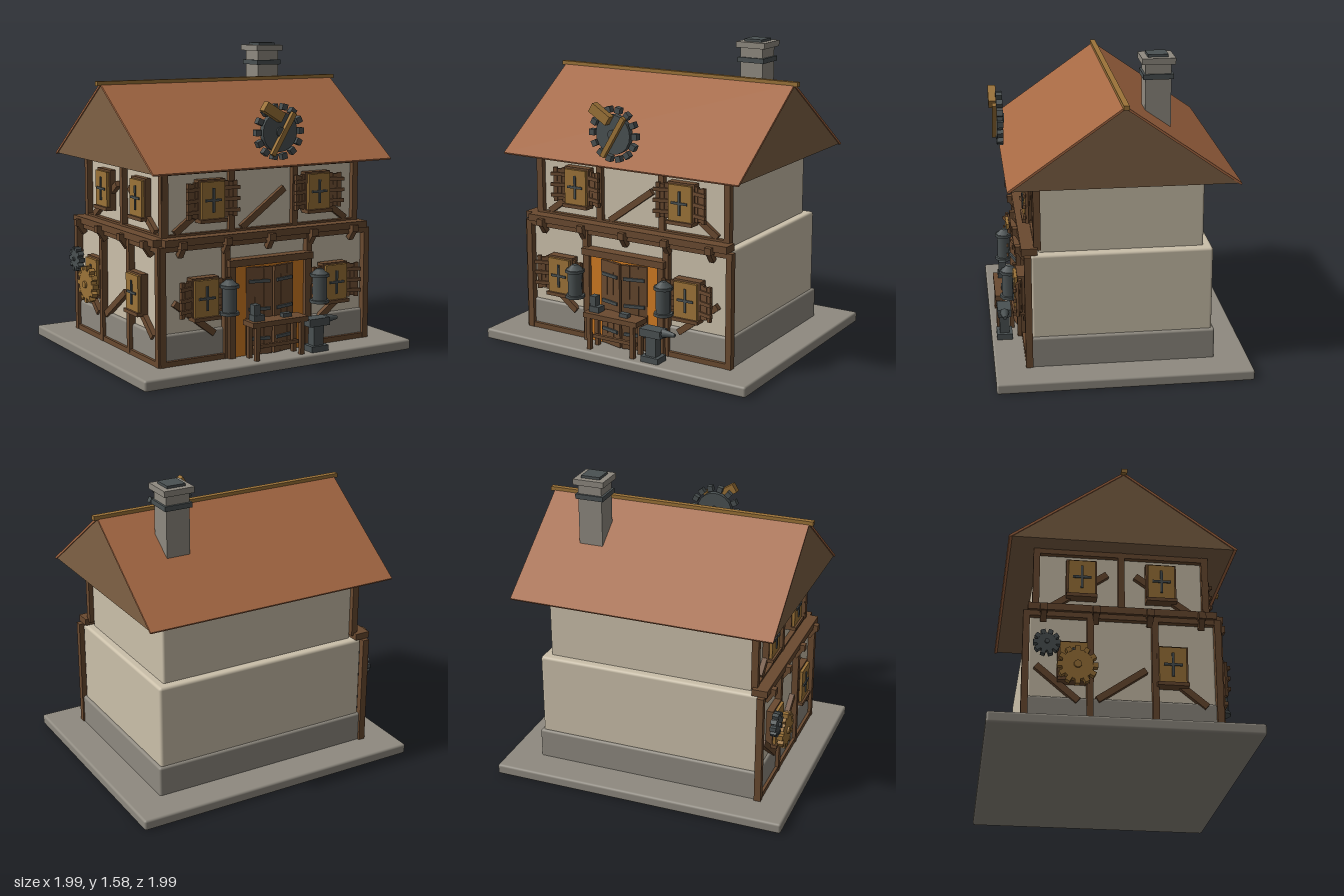
import * as THREE from 'three';
import { RoundedBoxGeometry } from 'three/addons/geometries/RoundedBoxGeometry.js';

const paint = (name, color) => Object.assign(new THREE.MeshStandardMaterial({ color }), { name });
const stone = paint('stone', 0x8f8a80);
const plaster = paint('plaster', 0xcbc0aa);
const timber = paint('timber', 0x6a4a30);
const gableWood = paint('gable wood', 0x7f6245);
const tile = paint('roof tile', 0xa56843);
const gold = paint('golden wood', 0x9c7338);
const glow = paint('door glow', 0xd07a22);
const iron = paint('iron', 0x4a5152);

function add(parent, name, geometry, material, x = 0, y = 0, z = 0, rz = 0) {
  const mesh = new THREE.Mesh(geometry, material);
  mesh.name = name;
  mesh.position.set(x, y, z);
  mesh.rotation.z = rz;
  parent.add(mesh);
  return mesh;
}
const box = (parent, name, mat, w, h, d, x, y, z, rz = 0) =>
  add(parent, name, new THREE.BoxGeometry(w, h, d), mat, x, y, z, rz);
const slab = (parent, name, mat, w, y0, y1, d, r) =>
  add(parent, name, new RoundedBoxGeometry(w, y1 - y0, d, 2, r), mat, 0, (y0 + y1) / 2, 0);
const drum = (parent, name, mat, r0, r1, h, x, y, z, sides = 8) =>
  add(parent, name, new THREE.CylinderGeometry(r0, r1, h, sides), mat, x, y, z);

function group(parent, name, x = 0, y = 0, z = 0, ry = 0) {
  const g = new THREE.Group();
  g.name = name;
  g.position.set(x, y, z);
  g.rotation.y = ry;
  parent.add(g);
  return g;
}

// Posts, rails and diagonal braces of one storey on one wall
function frame(parent, half, z, y0, y1, posts, braces) {
  const g = group(parent, 'timberFrame');
  for (const x of posts) box(g, 'post', timber, 0.032, y1 - y0, 0.035, x, (y0 + y1) / 2, z);
  for (const y of [y0 + 0.013, y1 - 0.013]) box(g, 'rail', timber, half * 2, 0.026, 0.03, 0, y, z);
  for (const [xa, ya, xb, yb] of braces)
    box(g, 'brace', timber, Math.hypot(xb - xa, yb - ya), 0.032, 0.026,
      (xa + xb) / 2, (ya + yb) / 2, z, Math.atan2(yb - ya, xb - xa));
}

// Window with a cross bar and optional plank shutters
function window(parent, x, y, z, shutters) {
  const g = group(parent, 'window', x, y, z);
  box(g, 'windowFrame', timber, 0.15, 0.2, 0.05, 0, 0, -0.02);
  box(g, 'windowPane', gold, 0.13, 0.18, 0.04, 0, 0, 0);
  box(g, 'windowBar', iron, 0.012, 0.12, 0.008, 0, 0, 0.022);
  box(g, 'windowBar', iron, 0.09, 0.012, 0.008, 0, 0, 0.022);
  box(g, 'windowSill', timber, 0.15, 0.018, 0.06, 0, -0.1, 0);
  if (!shutters) return;
  for (const s of [-1, 1]) {
    const sh = group(g, 'shutter', s * 0.108, 0, 0, -s * 0.3);
    for (const i of [-1, 0, 1]) box(sh, 'shutterPlank', timber, 0.021, 0.165 + 0.012 * (i * i), 0.016, i * 0.023, 0, 0);
    for (const yy of [-0.055, 0, 0.055]) box(sh, 'shutterBatten', timber, 0.084, 0.018, 0.014, s * 0.004, yy, 0.01);
  }
}

// Upright gear facing +z
function gear(parent, mat, r, teeth, size, x, y, z, gap = 0) {
  const g = group(parent, 'gear', x, y, z);
  drum(g, 'gearDisc', mat, r, r, 0.03, 0, 0, 0, 20).rotation.x = Math.PI / 2;
  drum(g, 'gearHub', mat, r * 0.25, r * 0.25, 0.05, 0, 0, 0, 10).rotation.x = Math.PI / 2;
  for (let i = 0; i < teeth; i++) {
    const a = (i / teeth) * Math.PI * 2;
    const d = r + gap + size * 0.35;
    box(g, 'gearTooth', mat, size, size, 0.032, Math.cos(a) * d, Math.sin(a) * d, 0, a);
  }
  return g;
}

// Jetty beam with sloping joist ends
function jetty(parent, half, z, xs) {
  const g = group(parent, 'jetty');
  box(g, 'jettyBeam', timber, half * 2, 0.035, 0.08, 0, 0.658, z - 0.03);
  for (const x of xs) {
    box(g, 'joistEnd', timber, 0.035, 0.035, 0.06, x, 0.645, z + 0.005);
    box(g, 'joistBracket', timber, 0.028, 0.065, 0.028, x, 0.615, z).rotation.x = 0.6;
  }
}

export function createModel() {
  const model = new THREE.Group();
  model.name = 'workshopHouse';
  const house = group(model, 'house', 0, 0, 0, Math.PI / 4);

  // Masonry body
  slab(house, 'base', stone, 1.556, 0, 0.055, 1.273, 0.012);
  slab(house, 'plinth', stone, 1.21, 0.04, 0.21, 0.926, 0.012);
  slab(house, 'lowerWall', plaster, 1.18, 0.15, 0.64, 0.9, 0.015);
  slab(house, 'upperWall', plaster, 1.096, 0.62, 1.01, 0.814, 0.012);

  // Roof: wooden prism under two tiled slopes
  const L = 0.68, W = 0.55, H = 0.385;
  const tri = new THREE.Shape([new THREE.Vector2(-W, 0), new THREE.Vector2(W, 0), new THREE.Vector2(0, H)]);
  const prism = new THREE.ExtrudeGeometry(tri, { depth: 2 * L, bevelEnabled: false });
  prism.translate(0, 0, -L).rotateY(Math.PI / 2);
  add(house, 'gableRoofCore', prism, gableWood, 0, 1, 0);
  for (const s of [-1, 1]) {
    const pts = [[0, H], [0, H + 0.013], [W + 0.01, 0.002], [W + 0.006, -0.006], [W - 0.004, -0.002]];
    const shape = new THREE.Shape(pts.map(([x, y]) => new THREE.Vector2(s * x, y)));
    const geo = new THREE.ExtrudeGeometry(shape, { depth: 1.372, bevelEnabled: false });
    geo.translate(0, 0, -0.686).rotateY(Math.PI / 2);
    add(house, 'roofSlope', geo, tile, 0, 1, 0);
  }
  box(house, 'ridgeBeam', gold, 1.414, 0.022, 0.028, 0, 1.395, 0);

  // Chimney
  const chimney = group(house, 'chimney', 0.375, 0, -0.19);
  box(chimney, 'chimneyShaft', stone, 0.126, 0.42, 0.126, 0, 1.33, 0);
  box(chimney, 'chimneyBand', iron, 0.148, 0.025, 0.148, 0, 1.473, 0);
  box(chimney, 'chimneyCap', stone, 0.163, 0.03, 0.163, 0, 1.55, 0);
  box(chimney, 'chimneyFlue', iron, 0.1, 0.03, 0.1, 0, 1.563, 0);

  // Long front wall
  const front = group(house, 'frontWall');
  frame(front, 0.61, 0.465, 0.055, 0.64, [-0.597, -0.24, 0.24, 0.597],
    [[-0.53, 0.36, -0.31, 0.19], [0.31, 0.19, 0.53, 0.36]]);
  frame(front, 0.57, 0.415, 0.66, 1, [-0.556, -0.185, 0.185, 0.556],
    [[-0.5, 0.69, -0.24, 0.88], [-0.125, 0.69, 0.125, 0.87], [0.24, 0.88, 0.5, 0.69]]);
  jetty(front, 0.59, 0.485, [-0.5, -0.25, 0, 0.25, 0.5]);
  for (const s of [-1, 1]) {
    window(front, s * 0.38, 0.38, 0.505, true);
    window(front, s * 0.31, 0.845, 0.445, true);
  }

  // Gable wall on the left side
  const side = group(house, 'gableWall', 0, 0, 0, -Math.PI / 2);
  frame(side, 0.475, 0.605, 0.055, 0.64, [-0.46, -0.155, 0.155, 0.46],
    [[-0.41, 0.36, -0.21, 0.19], [-0.12, 0.2, 0.11, 0.36], [0.19, 0.36, 0.4, 0.19]]);
  frame(side, 0.43, 0.56, 0.66, 1, [-0.415, 0, 0.415],
    [[-0.34, 0.69, -0.07, 0.88], [0.07, 0.88, 0.34, 0.69]]);
  jetty(side, 0.455, 0.625, [-0.38, -0.13, 0.13, 0.38]);
  for (const s of [-1, 1]) {
    window(side, s * 0.235, 0.385, 0.62, false);
    window(side, s * 0.195, 0.845, 0.575, false);
  }
  gear(side, gold, 0.075, 12, 0.024, -0.22, 0.345, 0.665);
  gear(side, iron, 0.045, 10, 0.022, -0.365, 0.455, 0.66);

  // Doorway with two leaves standing ajar
  const door = group(house, 'doorway');
  box(door, 'doorGlow', glow, 0.42, 0.46, 0.02, 0, 0.285, 0.472);
  for (const s of [-1, 1]) {
    box(door, 'doorJamb', timber, 0.035, 0.47, 0.055, s * 0.222, 0.29, 0.475);
    const leaf = group(door, 'doorLeaf', s * 0.07, 0, 0.497, s * 0.25);
    for (const i of [-1, 0, 1]) box(leaf, 'doorPlank', timber, 0.044, 0.44, 0.018, i * 0.046, 0.28, 0);
    for (const y of [0.14, 0.29, 0.43]) box(leaf, 'doorStrap', iron, 0.11, 0.016, 0.01, 0, y, 0.013);
  }
  box(door, 'doorLintel', timber, 0.49, 0.035, 0.06, 0, 0.53, 0.48);

  // Lanterns beside the door
  for (const s of [-1, 1]) {
    const lamp = group(house, 'lantern', s * 0.265, 0, 0.54);
    drum(lamp, 'lanternBody', iron, 0.038, 0.038, 0.12, 0, 0.365, 0);
    for (const y of [0.298, 0.432]) drum(lamp, 'lanternCap', iron, 0.05, 0.05, 0.015, 0, y, 0);
    drum(lamp, 'lanternTop', iron, 0.015, 0.045, 0.025, 0, 0.452, 0);
    box(lamp, 'lanternArm', iron, 0.014, 0.014, 0.08, 0, 0.44, -0.045);
  }

  // Workbench
  const bench = group(house, 'workbench', -0.01, 0, 0.56);
  box(bench, 'benchTop', timber, 0.32, 0.026, 0.1, 0, 0.235, 0);
  for (const x of [-0.13, 0.13])
    for (const z of [-0.035, 0.035]) box(bench, 'benchLeg', timber, 0.022, 0.18, 0.022, x, 0.135, z);
  box(bench, 'benchStretcher', timber, 0.26, 0.018, 0.018, 0, 0.115, 0);
  box(bench, 'viseBase', iron, 0.06, 0.03, 0.05, -0.11, 0.263, 0);
  box(bench, 'viseJaw', iron, 0.035, 0.07, 0.04, -0.12, 0.295, 0);
  box(bench, 'benchTool', iron, 0.05, 0.02, 0.03, 0.06, 0.258, 0);

  // Anvil
  const anvil = group(house, 'anvil', 0.225, 0, 0.57);
  box(anvil, 'anvilFoot', iron, 0.1, 0.03, 0.08, 0, 0.07, 0);
  box(anvil, 'anvilWaist', iron, 0.06, 0.11, 0.05, 0, 0.135, 0);
  box(anvil, 'anvilHead', iron, 0.12, 0.04, 0.07, 0, 0.205, 0);
  drum(anvil, 'anvilHorn', iron, 0.01, 0.024, 0.07, 0.09, 0.21, 0).rotation.z = -Math.PI / 2;

  // Hanging gear emblem with a hammer
  const sign = group(house, 'hangingSign', 0, 1.17, 0.56);
  gear(sign, iron, 0.098, 14, 0.03, 0, 0, 0, 0.014);
  box(sign, 'hammerHandle', gold, 0.024, 0.235, 0.022, 0.01, -0.01, 0.026, -0.55);
  box(sign, 'hammerHead', gold, 0.115, 0.05, 0.04, -0.055, 0.1, 0.032, -0.55);

  return model;
}
